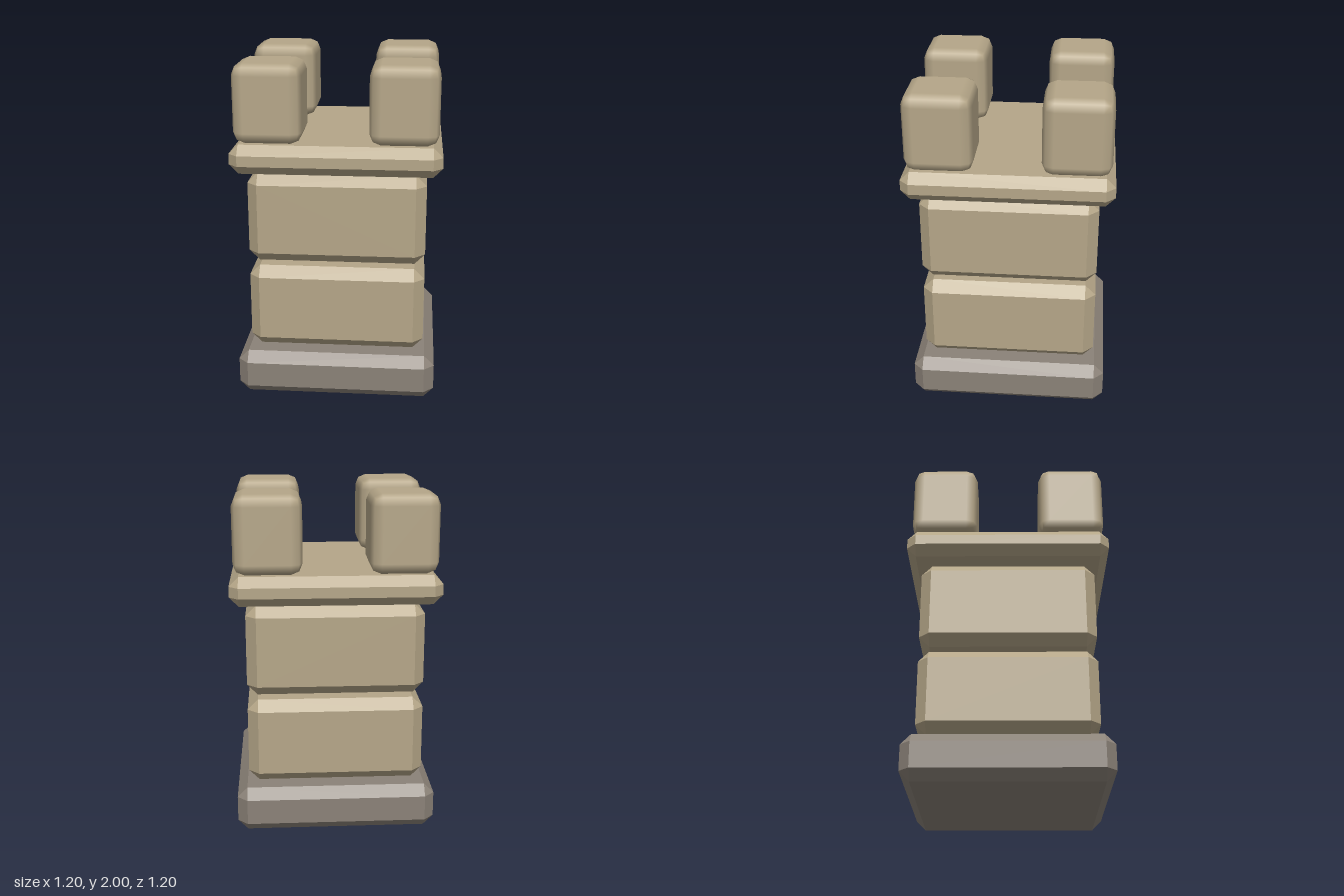
import * as THREE from 'three';
import { ConvexGeometry } from 'three/addons/geometries/ConvexGeometry.js';
import { RoundedBoxGeometry } from 'three/addons/geometries/RoundedBoxGeometry.js';

// Square block with 45 degree chamfers on every edge and flat facets
function chamferedBlock(half, bottom, top, chamfer) {
  const h = (top - bottom) / 2;
  const points = [];
  for (const sx of [-1, 1]) for (const sy of [-1, 1]) for (const sz of [-1, 1]) {
    for (let axis = 0; axis < 3; axis++) {
      const inset = [0, 1, 2].map((i) => (i === axis ? 0 : chamfer));
      points.push(new THREE.Vector3(
        sx * (half - inset[0]), sy * (h - inset[1]), sz * (half - inset[2])));
    }
  }
  const geometry = new ConvexGeometry(points);
  geometry.translate(0, (top + bottom) / 2, 0);
  return geometry;
}

export function createModel() {
  const model = new THREE.Group();
  model.name = 'stoneTower';

  const sandstone = new THREE.MeshStandardMaterial({ color: 0xb5a688 });
  sandstone.name = 'sandstone';
  const greyStone = new THREE.MeshStandardMaterial({ color: 0x8b8278 });
  greyStone.name = 'grey stone';

  // Stacked courses: name, half width, bottom, top, chamfer, material
  const courses = [
    ['base', 0.587, 0, 0.268, 0.059, greyStone],
    ['lowerBlock', 0.517, 0.289, 0.795, 0.061, sandstone],
    ['upperBlock', 0.517, 0.828, 1.362, 0.061, sandstone],
    ['platform', 0.602, 1.379, 1.548, 0.054, sandstone],
  ];
  for (const [name, half, bottom, top, chamfer, material] of courses) {
    const mesh = new THREE.Mesh(chamferedBlock(half, bottom, top, chamfer), material);
    mesh.name = name;
    model.add(mesh);
  }

  // Soft-edged merlons at the four corners
  const merlonGeometry = new RoundedBoxGeometry(0.39, 0.45, 0.39, 1, 0.065);
  for (const [front, sz] of [['front', 1], ['back', -1]]) {
    for (const [side, sx] of [['Left', 1], ['Right', -1]]) {
      const merlon = new THREE.Mesh(merlonGeometry, sandstone);
      merlon.name = `${front}${side}Merlon`;
      merlon.position.set(sx * 0.383, 1.775, sz * 0.383);
      model.add(merlon);
    }
  }
  return model;
}
